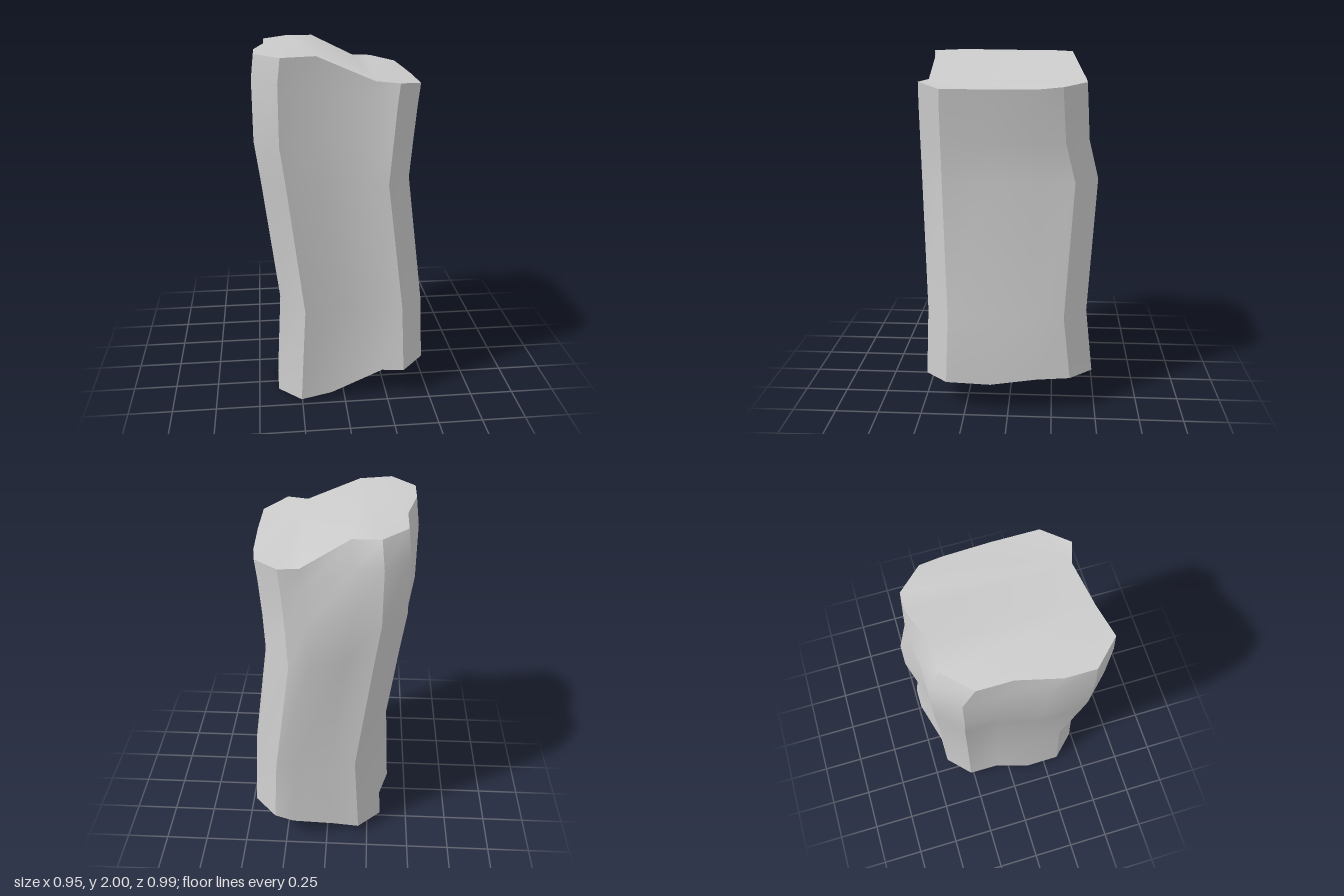
import * as THREE from 'three';
import { toCreasedNormals } from 'three/addons/utils/BufferGeometryUtils.js';

// Heights of the broken ends, one per outline point
const bottomY = [0.02, 0.03, 0.165, 0.18, 0.19, 0.18, 0.215, 0.22, 0.21, 0.17, 0.075, 0.06, 0.045, 0.04, 0, 0.01];
const topY = [2, 2, 1.87, 1.865, 1.84, 1.84, 1.84, 1.85, 1.865, 1.87, 2, 2, 2, 2, 2, 2];

// Outline hung from its side planes: L/R in x, F/B in z, K = rear-left plane
const outline = (L, R, F, B, K) => [
  [L + 0.13, F], [L + 0.31, F - 0.04], [R - 0.25, F - 0.04], [R - 0.13, F],
  [R, F - 0.13], [R, 0.1], [R - 0.01, -0.16], [R - 0.03, B + 0.13],
  [R - 0.16, B], [R - 0.27, B], [L + 0.34, K], [L + 0.19, K],
  [L + 0.055, K + 0.135], [L + 0.055, K + 0.32], [L, K + 0.54], [L, F - 0.135],
];

// Cross-sections upward: height rule and side planes
const sections = [
  [(i) => bottomY[i], -0.385, 0.472, 0.483, -0.482, -0.405],
  [() => 0.58, -0.355, 0.455, 0.467, -0.442, -0.4],
  [() => 1.33, -0.445, 0.355, 0.495, -0.492, -0.415],
  [() => 1.55, -0.475, 0.373, 0.495, -0.437, -0.415],
  [(i) => Math.min(1.87, topY[i] - 0.12), -0.475, 0.388, 0.495, -0.425, -0.415],
  [(i) => topY[i], -0.46, 0.402, 0.492, -0.417, -0.345],
];

// Flat facets of each end: high side, slope, low side
const facets = [[1, 10, 11, 12, 13, 14, 15, 0], [1, 2, 9, 10], [2, 3, 4, 5, 6, 7, 8, 9]];

function buildPillar() {
  const n = topY.length;
  const positions = [];
  const index = [];
  for (const [height, ...planes] of sections) {
    outline(...planes).forEach(([x, z], i) => positions.push(x, height(i), z));
  }
  // Side walls
  for (let s = 0; s < sections.length - 1; s++) {
    for (let i = 0; i < n; i++) {
      const a = s * n + i;
      const b = s * n + ((i + 1) % n);
      index.push(a, b, b + n, a, b + n, a + n);
    }
  }
  // End caps
  const top = (sections.length - 1) * n;
  for (const f of facets) {
    for (let k = 1; k < f.length - 1; k++) {
      index.push(top + f[0], top + f[k], top + f[k + 1]);
      index.push(f[0], f[k + 1], f[k]);
    }
  }
  const geometry = new THREE.BufferGeometry();
  geometry.setAttribute('position', new THREE.Float32BufferAttribute(positions, 3));
  geometry.setIndex(index);
  return toCreasedNormals(geometry, 0.6);
}

export function createModel() {
  const group = new THREE.Group();
  group.name = 'rockPillar';
  const pillar = new THREE.Mesh(buildPillar(), new THREE.MeshStandardMaterial({ color: 0xcccccc }));
  pillar.name = 'pillarBody';
  group.add(pillar);
  return group;
}
